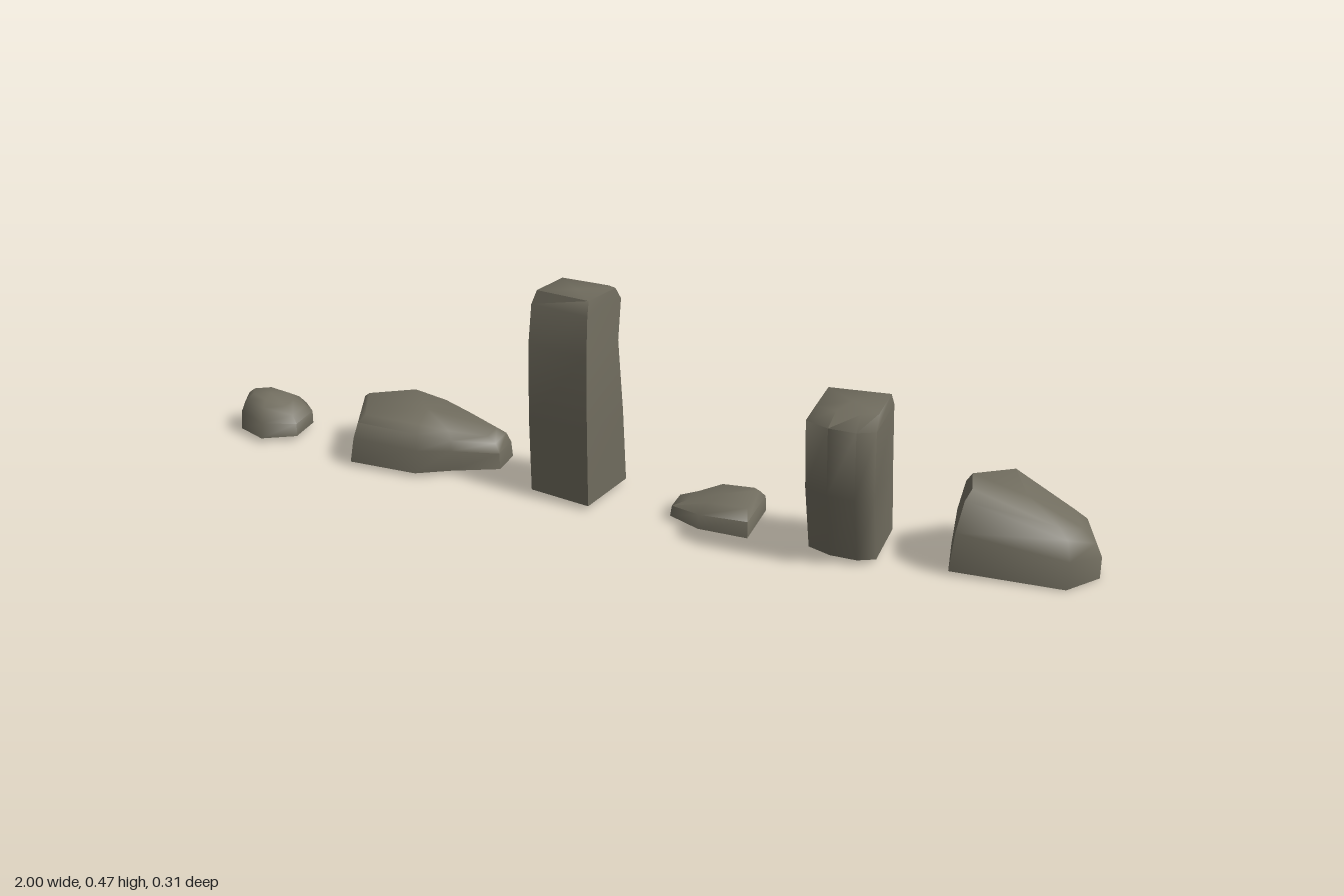
import * as THREE from 'three';
import { toCreasedNormals } from 'three/addons/utils/BufferGeometryUtils.js';

// Height at x along a polyline [[x, y], ...], or a constant
function heightAt(profile, x) {
  if (typeof profile === 'number') return profile;
  if (x <= profile[0][0]) return profile[0][1];
  for (let i = 1; i < profile.length; i++) {
    const [x0, y0] = profile[i - 1], [x1, y1] = profile[i];
    if (x <= x1) return y0 + (y1 - y0) * (x - x0) / (x1 - x0);
  }
  return profile[profile.length - 1][1];
}

// Loft a unit outline (u to the right, v to the front) through layers
// [xMin, xMax, zMin, zMax, height or height profile], closed at both ends
function stoneGeometry(outline, layers) {
  const n = outline.length, pos = [], index = [];
  const place = (u, v, [x0, x1, z0, z1, y]) => {
    const x = x0 + (x1 - x0) * u;
    pos.push(x, heightAt(y, x), z0 + (z1 - z0) * v);
  };
  for (const layer of layers) for (const [u, v] of outline) place(u, v, layer);
  const last = (layers.length - 1) * n, bottom = layers.length * n;
  place(0.5, 0.5, layers[0]);
  place(0.5, 0.5, layers[layers.length - 1]);
  for (let i = 0; i < n; i++) {
    const k = (i + 1) % n;
    for (let j = 0; j < last; j += n) {
      index.push(j + i, j + k, j + n + k, j + i, j + n + k, j + n + i);
    }
    index.push(bottom, k, i, bottom + 1, last + i, last + k);
  }
  const g = new THREE.BufferGeometry();
  g.setAttribute('position', new THREE.Float32BufferAttribute(pos, 3));
  g.setIndex(index);
  return toCreasedNormals(g, 1.15);
}

// Outlines run front -> right -> back -> left
const stones = {
  tallStandingStone: {
    outline: [[0, 0.85], [0.83, 1], [1, 0.12], [0.88, 0.04], [0.15, 0]],
    layers: [
      [-0.225, -0.05, -0.088, 0.08, 0.01],
      [-0.225, -0.05, -0.069, 0.082, 0.19],
      [-0.225, -0.055, -0.052, 0.07, 0.36],
      [-0.225, -0.06, -0.083, 0.052, 0.445],
      [-0.215, -0.065, -0.06, 0.038, 0.475],
    ],
  },
  leaningStandingStone: {
    outline: [[0, 0.88], [0.35, 1], [0.75, 1], [1, 0.88], [1, 0], [0, 0.05]],
    layers: [
      [0.415, 0.56, -0.065, 0.088, 0.01],
      [0.415, 0.56, -0.03, 0.137, 0.175],
      [0.415, 0.56, -0.002, 0.153, 0.335],
      [0.425, 0.555, 0.006, 0.115, [[0.425, 0.355], [0.555, 0.36]]],
    ],
  },
  steepBoulder: {
    outline: [[0.06, 1], [0.82, 0.88], [1, 0.53], [0.89, 0.14], [0.33, 0], [0, 0.48]],
    layers: [
      [0.69, 1, -0.153, 0.06, [[0.69, 0.01], [1, 0]]],
      [0.698, 1, -0.132, 0.058, [[0.7, 0.1], [0.8, 0.1], [1, 0.055]]],
      [0.71, 0.985, -0.128, 0.04, [[0.71, 0.165], [0.79, 0.17], [0.93, 0.11], [0.985, 0.08]]],
      [0.722, 0.955, -0.112, 0.022, [[0.722, 0.185], [0.78, 0.19], [0.83, 0.16], [0.955, 0.108]]],
    ],
  },
  longBoulder: {
    outline: [[0.14, 1], [0.56, 0.99], [0.74, 0.82], [1, 0.62], [1, 0.33], [0.75, 0.17], [0.56, 0.14], [0.28, 0], [0, 0.37]],
    layers: [
      [-0.715, -0.33, -0.153, 0.085, 0.01],
      [-0.705, -0.33, -0.14, 0.08, [[-0.7, 0.07], [-0.5, 0.065], [-0.33, 0.05]]],
      [-0.695, -0.34, -0.13, 0.068, [[-0.69, 0.105], [-0.5, 0.102], [-0.43, 0.08], [-0.34, 0.072]]],
      [-0.68, -0.36, -0.11, 0.05, [[-0.68, 0.118], [-0.48, 0.115], [-0.43, 0.093], [-0.36, 0.085]]],
    ],
  },
  smallRoundStone: {
    outline: [[0.12, 0.8], [0.56, 1], [1, 0.72], [1, 0.2], [0.8, 0], [0.33, 0.13], [0, 0.47]],
    layers: [
      [-1, -0.84, -0.085, 0.06, 0.01],
      [-0.998, -0.84, -0.085, 0.055, [[-1, 0.055], [-0.84, 0.04]]],
      [-0.985, -0.855, -0.07, 0.035, [[-0.985, 0.08], [-0.92, 0.08], [-0.855, 0.055]]],
      [-0.97, -0.88, -0.055, 0.015, [[-0.97, 0.092], [-0.92, 0.088], [-0.88, 0.07]]],
    ],
  },
  smallFlatStone: {
    outline: [[0, 0.78], [0.4, 1], [1, 1], [1, 0.1], [0.9, 0], [0.4, 0.02], [0, 0.4]],
    layers: [
      [0.1, 0.285, -0.06, 0.085, 0.01],
      [0.102, 0.283, -0.058, 0.078, [[0.1, 0.032], [0.19, 0.042], [0.28, 0.045]]],
      [0.13, 0.272, -0.042, 0.05, [[0.13, 0.042], [0.19, 0.058], [0.272, 0.062]]],
    ],
  },
};

export function createModel() {
  const group = new THREE.Group();
  group.name = 'stones';
  const stone = new THREE.MeshStandardMaterial({ color: 0x706c5e });
  stone.name = 'greyBrownStone';
  for (const [name, { outline, layers }] of Object.entries(stones)) {
    const mesh = new THREE.Mesh(stoneGeometry(outline, layers), stone);
    mesh.name = name;
    group.add(mesh);
  }
  return group;
}
